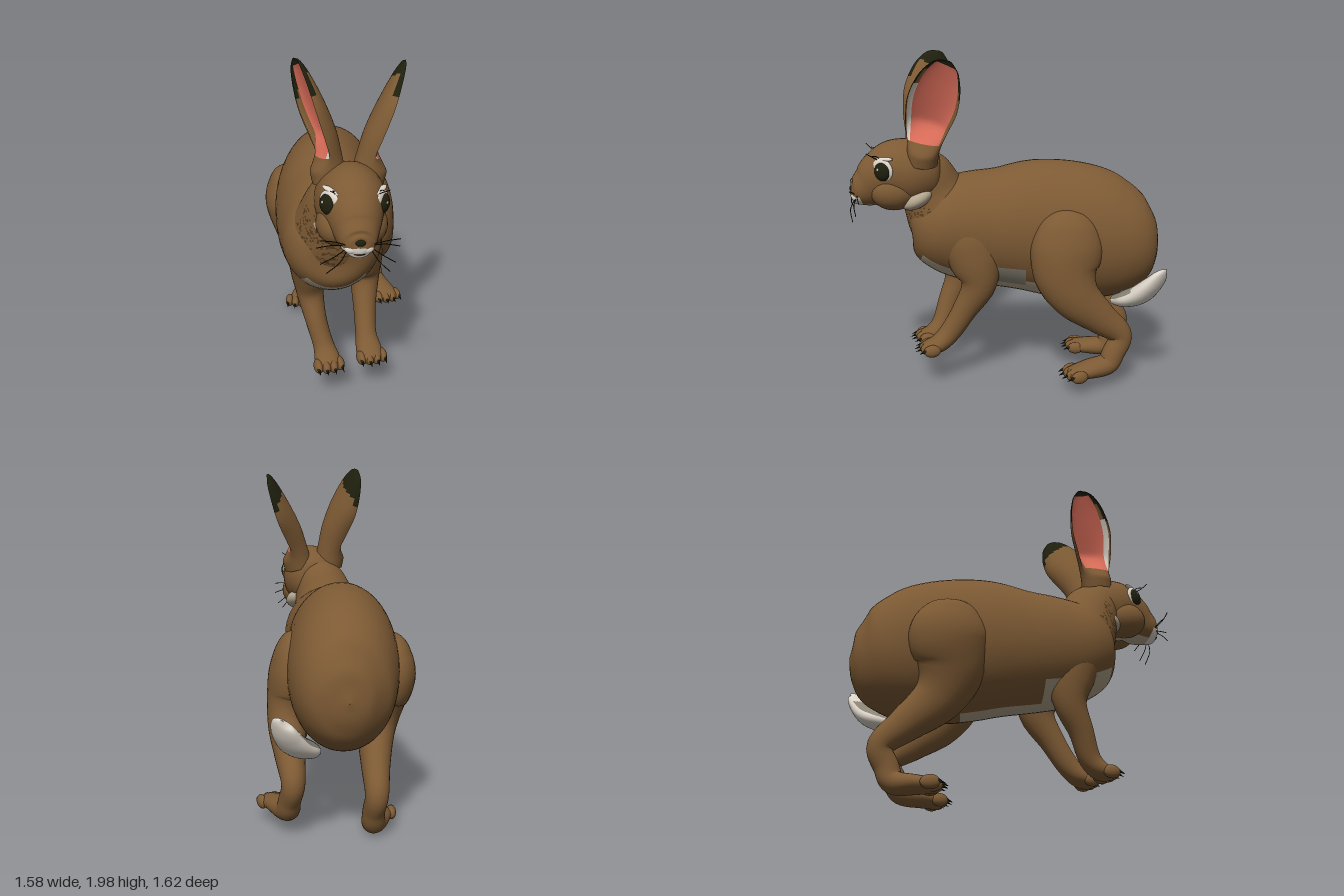
import * as THREE from 'three';

const mat = (name, color) => {
  const m = new THREE.MeshStandardMaterial({ color });
  m.name = name;
  return m;
};
const fur = mat('brown fur', 0x7d5a34);
const dark = mat('dark tips', 0x1f1f0e);
const pink = mat('inner ear pink', 0xe0705c);
const white = mat('white fur', 0xded6ca);
const cream = mat('pale belly fur', 0xb5a78f);
const grey = mat('grey fur', 0x8a8577);
const speckle = mat('dark brown speckles', 0x553a1c);
const PALETTE = [fur, dark, pink, white, cream, grey, speckle];
const [FUR, DARK, PINK, WHITE, CREAM, GREY, SPECKLE] = [0, 1, 2, 3, 4, 5, 6];

const V = (x, y, z) => new THREE.Vector3(x, y, z);
const BODY_YAW = -40 * Math.PI / 180;
const LEFT = V(Math.cos(BODY_YAW), 0, -Math.sin(BODY_YAW));

// Smooth skin over stations [x, y, z, sideRadius, otherRadius].
// paint(t, s, c) picks a colour; dent(t) scales the facing half (negative = hollow).
function loft(name, stations, side, { rings = 40, seg = 32, paint = () => FUR, dent = () => 1 } = {}) {
  const path = new THREE.CatmullRomCurve3(stations.map(p => V(p[0], p[1], p[2])), false, 'catmullrom', 0.5);
  const radii = new THREE.CatmullRomCurve3(stations.map(p => V(p[3], p[4], 0)), false, 'catmullrom', 0.5);
  const pos = [], faces = PALETTE.map(() => []);
  for (let i = 0; i <= rings; i++) {
    const t = i / rings, p = path.getPoint(t), r = radii.getPoint(t), T = path.getTangent(t);
    const S = side.clone().addScaledVector(T, -side.dot(T)).normalize();
    const N = T.clone().cross(S);
    for (let j = 0; j < seg; j++) {
      const a = j / seg * Math.PI * 2, s = Math.sin(a);
      const q = p.clone().addScaledVector(S, Math.max(r.x, 0.001) * Math.cos(a))
        .addScaledVector(N, Math.max(r.y, 0.001) * s * (s > 0 ? dent(t) : 1));
      pos.push(q.x, q.y, q.z);
      if (i === rings) continue;
      const k = (j + 1) % seg, m = (j + 0.5) / seg * Math.PI * 2;
      const A = i * seg + j, B = i * seg + k, C = A + seg, D = B + seg;
      faces[paint(t + 0.5 / rings, Math.sin(m), Math.cos(m))].push(A, B, C, B, D, C);
    }
  }
  const g = new THREE.BufferGeometry();
  g.setAttribute('position', new THREE.Float32BufferAttribute(pos, 3));
  let start = 0;
  faces.forEach((f, i) => { if (f.length) g.addGroup(start, f.length, i); start += f.length; });
  g.setIndex(faces.flat());
  g.computeVertexNormals();
  const mesh = new THREE.Mesh(g, PALETTE);
  mesh.name = name;
  return mesh;
}

// Repeatable scatter value from 0 to 1
const scatter = (a, b) => {
  const v = Math.sin(a * 127.1 + b * 311.7) * 43758.5;
  return v - Math.floor(v);
};

function blob(name, material, p, r) {
  const m = new THREE.Mesh(new THREE.SphereGeometry(1, 28, 20), material);
  m.name = name;
  m.position.set(...p);
  m.scale.set(...r);
  return m;
}

function hair(name, points) {
  const curve = new THREE.CatmullRomCurve3(points.map(p => V(...p)));
  const m = new THREE.Mesh(new THREE.TubeGeometry(curve, 8, 0.0025, 5), dark);
  m.name = name;
  return m;
}

// Four toes with claws, fanned around the foot's direction
function toes(name, p, yaw, spread) {
  const g = new THREE.Group();
  g.name = name;
  g.position.set(...p);
  g.rotation.y = yaw;
  for (let i = 0; i < 4; i++) {
    const k = i - 1.5, z = -Math.abs(k) * 0.014;
    g.add(blob('toe', fur, [k * spread, 0, z], [0.027, 0.038, 0.052]));
    const claw = new THREE.Mesh(new THREE.ConeGeometry(0.014, 0.06, 8), dark);
    claw.name = 'claw';
    claw.position.set(k * spread * 1.1, 0, z + 0.055);
    claw.rotation.x = Math.PI / 2 + 0.35;
    g.add(claw);
  }
  return g;
}

function makeHead() {
  const head = new THREE.Group();
  head.name = 'head';
  head.position.set(-0.45, 1.27, 0.46);
  head.rotation.set(0, -35 * Math.PI / 180, -0.06, 'YXZ');

  // Skull and muzzle
  head.add(loft('skull', [
    [0, -0.02, -0.25, 0, 0], [0, -0.02, -0.2, 0.12, 0.13], [0, 0, -0.09, 0.18, 0.19],
    [0, 0.01, 0.03, 0.18, 0.2], [0, -0.025, 0.13, 0.145, 0.168], [0, -0.07, 0.21, 0.113, 0.124],
    [0, -0.095, 0.27, 0.087, 0.087], [0, -0.1, 0.3, 0.053, 0.055], [0, -0.1, 0.312, 0, 0]
  ], V(1, 0, 0), {
    rings: 56,
    paint: (t, s) => (t > 0.74 && s < -0.25) ? WHITE : (t > 0.35 && s < -0.86) ? CREAM : FUR
  }));
  head.add(blob('nose', dark, [0, -0.078, 0.299], [0.028, 0.02, 0.016]));
  head.add(blob('mouth', dark, [0, -0.14, 0.298], [0.03, 0.004, 0.012]));

  for (const s of [-1, 1]) {
    head.add(blob('cheek', fur, [s * 0.078, -0.085, 0.055], [0.108, 0.11, 0.14]));
    const jaw = blob('jaw patch', cream, [s * 0.1, -0.125, -0.075], [0.088, 0.055, 0.1]);
    jaw.rotation.x = 0.5;
    head.add(jaw);
    head.add(blob('whisker pad', white, [s * 0.036, -0.118, 0.272], [0.04, 0.03, 0.034]));

    // Eye facing out and forward, pale fur around it
    const eye = new THREE.Group();
    eye.name = 'eye';
    eye.position.set(s * 0.136, 0.05, 0.118);
    eye.rotation.y = s * 0.93;
    eye.add(blob('eye patch', white, [-s * 0.008, 0.004, -0.004], [0.074, 0.07, 0.022]));
    eye.add(blob('eyeball', dark, [0, 0, 0.004], [0.052, 0.055, 0.032]));
    eye.add(blob('eye glint', white, [-0.012, 0.016, 0.033], [0.008, 0.008, 0.004]));
    const brow = blob('brow streak', white, [0, 0.068, -0.014], [0.062, 0.013, 0.018]);
    brow.rotation.z = s * 0.12;
    eye.add(brow, blob('tear streak', white, [-s * 0.045, -0.065, -0.004], [0.024, 0.032, 0.016]));
    head.add(eye);

    // Whiskers and brow hairs
    for (const [x, y, z] of [[0.2, -0.06, 0.3], [0.21, -0.12, 0.26], [0.19, -0.2, 0.28], [0.16, -0.24, 0.3]])
      head.add(hair('whisker', [[s * 0.05, -0.11, 0.27], [s * x * 0.6, y * 0.6 - 0.03, z + 0.01], [s * x, y, z]]));
    for (const k of [0, 1])
      head.add(hair('brow hair', [[s * 0.11, 0.1, 0.12], [s * 0.12, 0.135, 0.15 + k * 0.03], [s * (0.13 + k * 0.02), 0.14 + k * 0.02, 0.18 + k * 0.03]]));

    // Ear: deep bowl opening outward, dark tip, pink lining with a pale front edge
    const n = V(s * 0.95, -0.22, 0.24).normalize();
    const width = n.clone().cross(V(s * 0.25, 0.93, -0.22));
    const ear = [[0.1, 0.09, -0.11, 0.09, 0.09], [0.125, 0.19, -0.12, 0.096, 0.092], [0.172, 0.31, -0.135, 0.124, 0.105],
      [0.223, 0.44, -0.165, 0.145, 0.098], [0.26, 0.56, -0.2, 0.126, 0.072], [0.283, 0.645, -0.23, 0.084, 0.043],
      [0.288, 0.682, -0.245, 0.038, 0.02], [0.289, 0.692, -0.248, 0, 0]];
    head.add(loft(s > 0 ? 'leftEar' : 'rightEar', ear.map(([x, ...r]) => [s * x, ...r]), width, {
      rings: 56, seg: 48,
      dent: t => 1 - 1.62 * THREE.MathUtils.smoothstep(t, 0.08, 0.3),
      paint: (t, sn, c) => {
        const front = c * s;
        if (sn > 0 && t > 0.18 && t < 0.77 && front > -0.88 && front < 0.82) return PINK;
        if (sn > 0 && t > 0.18 && t < 0.52 && front > 0 && front < 0.95) return WHITE;
        return t > 0.6 + front * 0.05 || (t > 0.5 && Math.abs(c) > 0.93) ? DARK : FUR;
      }
    }));
  }
  return head;
}

export function createModel() {
  const model = new THREE.Group();
  model.name = 'rabbit';

  // Torso with a pale belly that climbs behind the left front leg
  const torso = new THREE.Group();
  torso.name = 'torso';
  torso.rotation.y = BODY_YAW;
  torso.add(loft('body', [
    [-0.06, 0.82, -0.912, 0, 0], [-0.06, 0.82, -0.88, 0.135, 0.165], [-0.06, 0.825, -0.785, 0.237, 0.295],
    [-0.075, 0.845, -0.635, 0.288, 0.378], [-0.1, 0.885, -0.43, 0.312, 0.425], [-0.13, 0.915, -0.17, 0.314, 0.42],
    [-0.14, 0.915, 0.08, 0.303, 0.372], [-0.135, 0.93, 0.29, 0.288, 0.335], [-0.125, 0.95, 0.46, 0.262, 0.275],
    [-0.115, 0.97, 0.575, 0.165, 0.17], [-0.115, 0.97, 0.62, 0, 0]
  ], V(1, 0, 0), {
    rings: 64, seg: 48,
    paint: (t, s, c) => {
      if (t > 0.53 && t < 0.62 && s < -0.5 && c > 0) return s < -0.8 ? CREAM : GREY;
      const underside = t > 0.62 ? t < 0.84 : t > 0.43 && c > -0.25;
      return underside && s < -0.75 ? CREAM : FUR;
    }
  }));
  model.add(torso);

  // Neck with a speckled throat
  model.add(loft('neck', [
    [-0.32, 0.84, 0.17, 0.21, 0.21], [-0.36, 1.0, 0.225, 0.235, 0.225], [-0.395, 1.16, 0.29, 0.19, 0.19],
    [-0.41, 1.3, 0.36, 0.15, 0.16], [-0.42, 1.42, 0.4, 0.08, 0.08]
  ], LEFT, {
    rings: 80, seg: 96,
    paint: (t, s, c) => (s < -0.2 && t > 0.15 && t < 0.6 && scatter(t, c) > 0.75) ? SPECKLE : FUR
  }));
  model.add(makeHead());

  // Front legs
  model.add(loft('leftFrontLeg', [
    [-0.18, 1.06, 0.21, 0.03, 0.05], [-0.15, 0.93, 0.22, 0.12, 0.18], [-0.1, 0.76, 0.205, 0.118, 0.16],
    [-0.078, 0.61, 0.2, 0.092, 0.107], [-0.137, 0.45, 0.262, 0.068, 0.075], [-0.195, 0.31, 0.33, 0.062, 0.065],
    [-0.235, 0.24, 0.395, 0.075, 0.055], [-0.275, 0.22, 0.46, 0.062, 0.035], [-0.285, 0.215, 0.48, 0, 0]
  ], LEFT));
  model.add(toes('leftFrontToes', [-0.265, 0.22, 0.455], -0.52, 0.042));
  model.add(loft('rightFrontLeg', [
    [-0.44, 1.04, 0.12, 0.03, 0.05], [-0.44, 0.91, 0.105, 0.11, 0.17], [-0.41, 0.73, 0.075, 0.105, 0.142],
    [-0.4, 0.57, 0.073, 0.08, 0.096], [-0.42, 0.42, 0.14, 0.063, 0.071], [-0.425, 0.28, 0.205, 0.06, 0.062],
    [-0.45, 0.217, 0.265, 0.073, 0.053], [-0.485, 0.2, 0.32, 0.062, 0.033], [-0.495, 0.2, 0.34, 0, 0]
  ], LEFT));
  model.add(toes('rightFrontToes', [-0.48, 0.2, 0.32], -0.52, 0.042));

  // Hind legs: broad haunch, sharp hock, long flat foot
  model.add(loft('leftHindLeg', [
    [0.33, 1.085, -0.15, 0, 0], [0.33, 1.057, -0.147, 0.06, 0.1], [0.328, 0.98, -0.143, 0.106, 0.175],
    [0.328, 0.85, -0.135, 0.136, 0.215], [0.338, 0.7, -0.118, 0.13, 0.19], [0.395, 0.56, -0.155, 0.11, 0.145],
    [0.485, 0.43, -0.263, 0.085, 0.102], [0.564, 0.315, -0.365, 0.065, 0.071], [0.55, 0.205, -0.323, 0.062, 0.069],
    [0.53, 0.137, -0.285, 0.068, 0.065], [0.48, 0.122, -0.17, 0.077, 0.054], [0.445, 0.112, -0.06, 0.064, 0.035],
    [0.437, 0.11, -0.04, 0, 0]
  ], LEFT, { rings: 72 }));
  model.add(toes('leftHindToes', [0.443, 0.112, -0.07], -0.42, 0.044));
  model.add(loft('rightHindLeg', [
    [-0.03, 1.085, -0.55, 0, 0], [-0.03, 1.057, -0.547, 0.06, 0.1], [-0.035, 0.98, -0.545, 0.108, 0.178],
    [-0.035, 0.85, -0.538, 0.14, 0.22], [-0.015, 0.69, -0.495, 0.132, 0.19], [0.05, 0.53, -0.515, 0.107, 0.14],
    [0.175, 0.385, -0.615, 0.081, 0.098], [0.27, 0.262, -0.703, 0.064, 0.07], [0.252, 0.15, -0.668, 0.061, 0.067],
    [0.22, 0.07, -0.642, 0.066, 0.063], [0.12, 0.053, -0.585, 0.075, 0.05], [0.035, 0.046, -0.535, 0.062, 0.034],
    [0.02, 0.045, -0.525, 0, 0]
  ], LEFT, { rings: 72 }));
  model.add(toes('rightHindToes', [0.035, 0.046, -0.535], -0.8, 0.044));

  // Tail, curling up to one side
  model.add(loft('tail', [
    [0.47, 0.5, -0.42, 0.05, 0.03], [0.55, 0.525, -0.435, 0.1, 0.052], [0.64, 0.57, -0.45, 0.107, 0.06],
    [0.71, 0.64, -0.465, 0.095, 0.05], [0.76, 0.71, -0.485, 0.066, 0.028], [0.782, 0.742, -0.505, 0, 0]
  ], V(0, 0, 1), { paint: (t, s, c) => (s < -0.3 && t < 0.52 - c * 0.14) ? GREY : WHITE }));
  return model;
}
